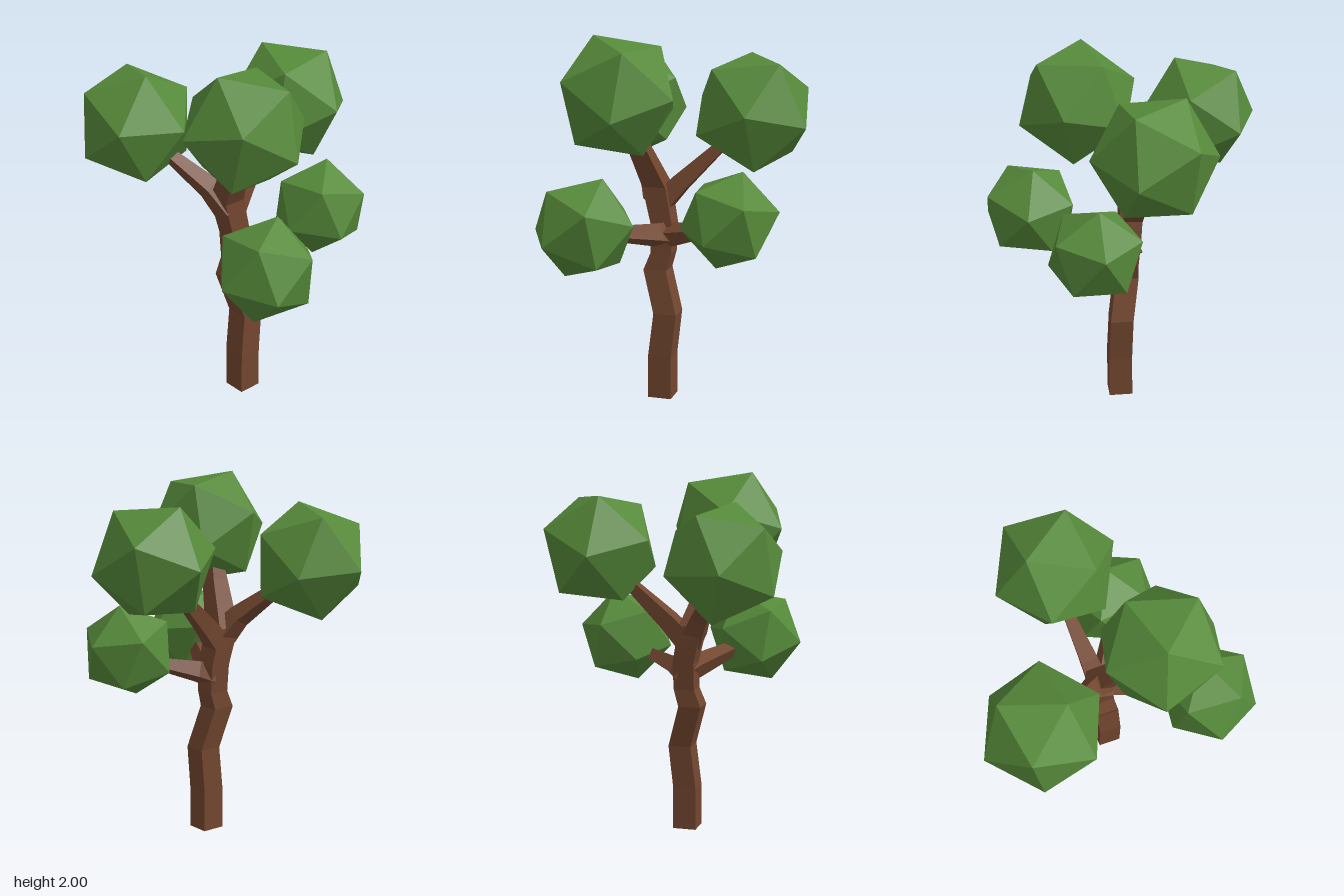
import * as THREE from 'three';

const bark = new THREE.MeshStandardMaterial({ color: 0x734730, flatShading: true });
const leaf = new THREE.MeshStandardMaterial({ color: 0x568a3a, flatShading: true });
const V = (a) => new THREE.Vector3(a[0], a[1], a[2]);

// Four-sided limb through stations [x, y, z, radius], sections square to dir
function limb(name, stations, dir) {
  const rows = stations.length - 1;
  const geo = new THREE.CylinderGeometry(1, 1, 1, 4, rows).rotateY(0.51);
  const q = new THREE.Quaternion().setFromUnitVectors(new THREE.Vector3(0, 1, 0), dir.clone().normalize());
  const pos = geo.attributes.position;
  const p = new THREE.Vector3();
  for (let i = 0; i < pos.count; i++) {
    const s = stations[Math.round((pos.getY(i) + 0.5) * rows)];
    p.set(pos.getX(i), 0, pos.getZ(i)).multiplyScalar(s[3]).applyQuaternion(q).add(V(s));
    pos.setXYZ(i, p.x, p.y, p.z);
  }
  geo.computeVertexNormals();
  const mesh = new THREE.Mesh(geo, bark);
  mesh.name = name;
  return mesh;
}

// Icosahedron turned so that two neighbouring corners point along a and b
function foliage(name, centre, radius, a, b) {
  const mesh = new THREE.Mesh(new THREE.IcosahedronGeometry(radius, 0), leaf);
  const x = V(a).sub(V(b)).normalize();
  const z = x.clone().cross(V(a).add(V(b))).normalize();
  const y = z.clone().cross(x);
  mesh.quaternion.setFromRotationMatrix(new THREE.Matrix4().makeBasis(x, y, z));
  mesh.position.copy(V(centre));
  mesh.name = name;
  return mesh;
}

export function createModel() {
  const tree = new THREE.Group();
  tree.name = 'tree';

  // Crooked trunk, leaning forward into the highest crown
  tree.add(limb('trunk', [
    [0.12, 0, 0.06, 0.092],
    [0.12, 0.24, 0.06, 0.092],
    [0.12, 0.48, 0.032, 0.09],
    [0.066, 0.715, 0.087, 0.09],
    [0.072, 0.81, 0.055, 0.082],
    [0.06, 0.96, 0.05, 0.084],
    [0.035, 1.17, 0.09, 0.092],
    [0.15, 1.42, 0.19, 0.07],
    [0.19, 1.54, 0.23, 0.05],
  ], new THREE.Vector3(0, 1, 0)));

  // Branches: start, middle, end
  const branches = {
    leftUpperBranch: [[0.05, 1.1, 0.09, 0.085], [-0.05, 1.23, 0.13, 0.066], [-0.3, 1.43, 0.21, 0.036]],
    backUpperBranch: [[0.04, 1.07, 0.07, 0.08], [0.05, 1.19, -0.04, 0.066], [0.07, 1.43, -0.29, 0.036]],
    frontLowerBranch: [[0.06, 0.9, 0.04, 0.085], [0.14, 0.92, 0.1, 0.07], [0.36, 0.98, 0.31, 0.046]],
    backLowerBranch: [[0.06, 0.9, 0.05, 0.085], [0.13, 0.92, 0, 0.065], [0.3, 0.98, -0.18, 0.036]],
  };
  for (const [name, s] of Object.entries(branches)) {
    tree.add(limb(name, s, V(s[2]).sub(V(s[0]))));
  }

  // Five crowns
  tree.add(
    foliage('frontCrown', [0.263, 1.693, 0.285], 0.34, [-0.075, 0.305, 0.13], [0.235, 0.243, -0.033]),
    foliage('rightCrown', [-0.436, 1.561, 0.244], 0.332, [0.11, 0.296, 0.06], [-0.172, 0.243, -0.155]),
    foliage('backCrown', [0.108, 1.587, -0.419], 0.34, [0.163, 0.27, -0.13], [-0.167, 0.296, 0]),
    foliage('backLowerCrown', [0.393, 1.061, -0.293], 0.267, [0, 0.25, -0.07], [0.04, 0.045, -0.262]),
    foliage('frontLowerCrown', [0.498, 1.045, 0.454], 0.278, [0.01, 0.257, -0.1], [0.256, 0.114, -0.026]),
  );
  return tree;
}
